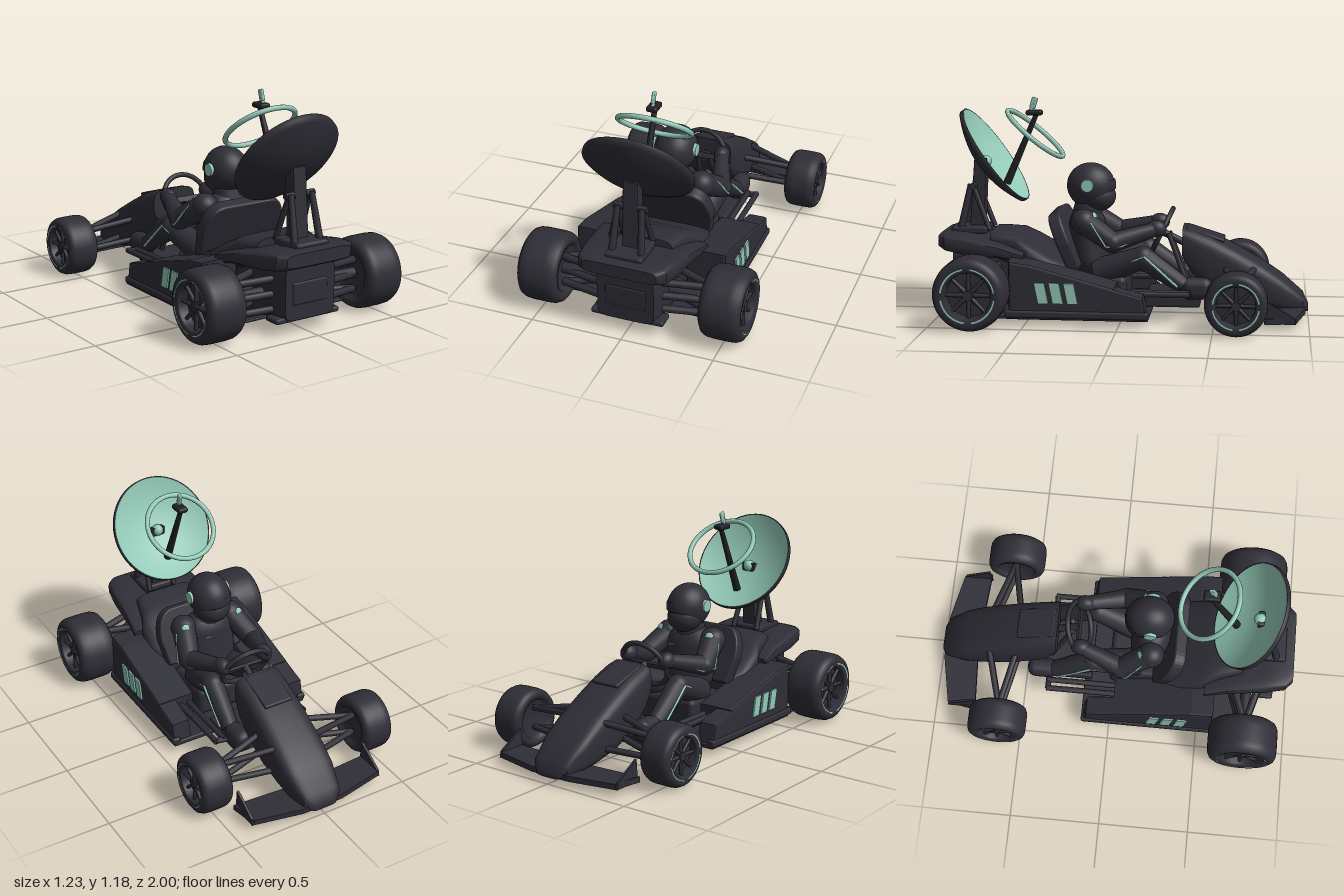
import * as THREE from 'three';
import { toCreasedNormals } from 'three/addons/utils/BufferGeometryUtils.js';
import { RoundedBoxGeometry } from 'three/addons/geometries/RoundedBoxGeometry.js';

const mat = (name, hex) => {
  const m = new THREE.MeshStandardMaterial({ color: hex, side: THREE.DoubleSide });
  m.name = name;
  return m;
};
const V = (x, y, z) => new THREE.Vector3(x, y, z);

export function createModel() {
  const dark = mat('charcoal', 0x2f2e37), black = mat('black', 0x201f25), mint = mat('mint', 0x92c8b6);
  const root = new THREE.Group();
  root.name = 'kart';

  const add = (name, geo, m = dark, pos = [0, 0, 0], parent = root) => {
    const mesh = new THREE.Mesh(geo, m);
    mesh.name = name;
    mesh.position.set(...pos);
    parent.add(mesh);
    return mesh;
  };
  const box = (name, x, y, z, w, h, d, m = dark, r = 0.012) =>
    add(name, new RoundedBoxGeometry(w, h, d, 2, Math.min(r, w / 2.1, h / 2.1, d / 2.1)), m, [x, y, z]);
  // Straight tapered bar between two points
  const rod = (name, a, b, r1, r2 = r1, m = dark, parent = root) => {
    const A = V(...a), B = V(...b), d = B.clone().sub(A);
    const mesh = add(name, new THREE.CylinderGeometry(r2, r1, d.length(), 14), m, A.clone().add(B).multiplyScalar(0.5).toArray(), parent);
    mesh.quaternion.setFromUnitVectors(V(0, 1, 0), d.normalize());
    return mesh;
  };
  const ball = (name, p, s, m = dark) => {
    const mesh = add(name, new THREE.SphereGeometry(1, 28, 20), m, p);
    mesh.scale.set(...s);
    return mesh;
  };
  // Side profile of [z, y] points, extruded from x0 to x0 + width
  const profile = (name, pts, x0, width, m = dark, bevel = 0) => {
    const shape = new THREE.Shape(pts.map(([z, y]) => new THREE.Vector2(-z, y)));
    const geo = new THREE.ExtrudeGeometry(shape, {
      depth: width - 2 * bevel, bevelEnabled: bevel > 0, bevelSize: bevel, bevelThickness: bevel, bevelOffset: -bevel, bevelSegments: 2,
    }).rotateY(Math.PI / 2).translate(x0 + bevel, 0, 0);
    return add(name, geo, m);
  };
  const sideProfile = (name, pts, s, xIn, xOut, m, bevel) =>
    profile(name, pts, s > 0 ? xIn : -xOut, xOut - xIn, m, bevel);
  // Rounded-box sections [z, halfWidth, yBottom, yTop] joined along z
  const loft = (name, secs, m = dark, e = 0.5, n = 32) => {
    const pos = [], idx = [], p = (v) => Math.sign(v) * Math.abs(v) ** e;
    for (const [z, w, y0, y1] of secs)
      for (let j = 0; j < n; j++) {
        const t = (j / n) * Math.PI * 2;
        pos.push(w * p(Math.cos(t)), (y0 + y1) / 2 + ((y1 - y0) / 2) * p(Math.sin(t)), z);
      }
    const last = (secs.length - 1) * n;
    for (let i = 0; i < secs.length - 1; i++)
      for (let j = 0; j < n; j++) {
        const a = i * n + j, b = i * n + ((j + 1) % n);
        idx.push(a, b, a + n, b, b + n, a + n);
      }
    for (let j = 1; j < n - 1; j++) idx.push(0, j + 1, j, last, last + j, last + j + 1);
    const g = new THREE.BufferGeometry();
    g.setAttribute('position', new THREE.Float32BufferAttribute(pos, 3));
    g.setIndex(idx);
    return add(name, toCreasedNormals(g, 0.6), m);
  };

  // Floor and central tub
  box('floor', 0, 0.055, 0.21, 0.84, 0.03, 0.74, dark, 0.008);
  box('frontFloor', 0, 0.1, -0.27, 0.36, 0.06, 0.3);
  box('rearFloor', 0, 0.042, 0.64, 0.78, 0.014, 0.16, dark, 0.005);

  // Nose cone with hatch, then front wing
  loft('nose', [[-1, 0.07, 0.04, 0.07], [-0.97, 0.11, 0.04, 0.13], [-0.86, 0.14, 0.045, 0.225], [-0.75, 0.148, 0.06, 0.3],
    [-0.6, 0.15, 0.09, 0.385], [-0.47, 0.148, 0.15, 0.45], [-0.37, 0.145, 0.24, 0.485], [-0.32, 0.135, 0.32, 0.495]]);
  const hatch = box('noseHatch', 0, 0.452, -0.44, 0.17, 0.02, 0.22);
  hatch.rotation.x = -0.3;
  const plan = [[-0.385, -0.93], [-0.12, -0.985], [0.12, -0.985], [0.385, -0.93], [0.415, -0.77], [0.12, -0.79], [-0.12, -0.79], [-0.415, -0.77]];
  add('frontWing', new THREE.ExtrudeGeometry(new THREE.Shape(plan.map(([x, z]) => new THREE.Vector2(x, -z))),
    { depth: 0.03, bevelEnabled: false }).rotateX(-Math.PI / 2), dark, [0, 0.04, 0]);

  // Rear bodywork: engine box, deck and sloping cover
  loft('engineBox', [[0.5, 0.2, 0.06, 0.38], [0.8, 0.18, 0.07, 0.38], [0.93, 0.155, 0.08, 0.37]], dark, 0.25);
  box('engineRecess', 0, 0.22, 0.925, 0.22, 0.12, 0.02);
  loft('engineCover', [[0.27, 0.24, 0.1, 0.3], [0.37, 0.27, 0.1, 0.34], [0.5, 0.26, 0.15, 0.415], [0.58, 0.22, 0.28, 0.455], [0.72, 0.18, 0.3, 0.465]], dark, 0.4);
  loft('rearDeck', [[0.52, 0.3, 0.31, 0.37], [0.65, 0.28, 0.33, 0.41], [0.85, 0.26, 0.34, 0.45], [0.96, 0.24, 0.36, 0.46], [1, 0.2, 0.38, 0.45]], dark, 0.35);
  box('mastBase', 0, 0.46, 0.85, 0.2, 0.04, 0.2);
  box('diffuser', 0, 0.085, 0.87, 0.4, 0.03, 0.1);

  for (const s of [1, -1]) {
    // Side pods with painted slashes
    sideProfile('sidePod', [[0.58, 0.06], [0.58, 0.35], [0.46, 0.335], [0.02, 0.215], [0.02, 0.06]], s, 0.2, 0.42, dark, 0.015);
    sideProfile('podNose', [[0.06, 0.06], [0.06, 0.22], [-0.13, 0.17], [-0.15, 0.06]], s, 0.31, 0.42, dark, 0.012);
    box('podSkirt', s * 0.405, 0.07, 0.22, 0.05, 0.04, 0.76);
    for (let i = 0; i < 3; i++) {
      const z = 0.442 - i * 0.078;
      sideProfile('podSlash', [[z, 0.24], [z - 0.055, 0.24], [z - 0.077, 0.13], [z - 0.022, 0.13]], s, 0.421, 0.43, mint);
    }
    for (const x of [0.23, 0.28]) rod('sideRail', [s * x, 0.16, -0.37], [s * x, 0.16, 0.05], 0.016);
    rod('railCross', [s * 0.15, 0.14, -0.36], [s * 0.28, 0.16, -0.36], 0.016);
    sideProfile('wingEndPlate', [[-0.765, 0.04], [-0.93, 0.04], [-0.92, 0.075], [-0.775, 0.16]], s, 0.385, 0.398, dark);

    // Front suspension
    for (const [zi, y, yo] of [[-0.71, 0.28, 0.23], [-0.55, 0.28, 0.23], [-0.71, 0.14, 0.12], [-0.55, 0.16, 0.12]])
      rod('frontWishbone', [s * 0.11, y, zi], [s * 0.43, yo, -0.62], 0.017);
    // Rear suspension
    for (const y of [0.11, 0.19, 0.27])
      for (const z of [0.66, 0.84]) rod('rearWishbone', [s * 0.14, y + 0.02, z], [s * 0.42, y, 0.76], 0.02);
    rod('driveShaft', [s * 0.12, 0.2, 0.76], [s * 0.42, 0.2, 0.76], 0.03);

    // Driver arm and leg with piping
    const sh = [s * 0.15, 0.525, 0.21], el = [s * 0.205, 0.425, 0.05], ha = [s * 0.13, 0.49, -0.18];
    rod('upperArm', sh, el, 0.068, 0.058);
    rod('forearm', el, ha, 0.056, 0.038);
    ball('shoulder', sh, [0.072, 0.07, 0.072]);
    ball('elbow', el, [0.059, 0.057, 0.059]);
    ball('glove', ha, [0.043, 0.047, 0.055]);
    const piping = [[0.222, 0.53, 0.165], [0.262, 0.408, 0.08], [0.236, 0.407, 0], [0.178, 0.468, -0.12]].map(([x, y, z]) => [s * x, y, z]);
    for (let i = 0; i < 3; i++) rod('armPiping', piping[i], piping[i + 1], 0.005, 0.005, mint);
    const patch = ball('shoulderPatch', [s * 0.17, 0.562, 0.148], [0.022, 0.022, 0.006], mint);
    patch.rotation.set(0.5, s * -0.3 + Math.PI, 0);
    const hip = [s * 0.1, 0.24, 0.14], kn = [s * 0.15, 0.335, -0.11], an = [s * 0.17, 0.19, -0.33];
    rod('thigh', hip, kn, 0.08, 0.063);
    rod('shin', kn, an, 0.063, 0.047);
    ball('knee', kn, [0.064, 0.064, 0.064]);
    box('boot', s * 0.165, 0.175, -0.4, 0.1, 0.12, 0.17, dark, 0.045);
    rod('thighPiping', [s * 0.18, 0.26, 0.08], [s * 0.211, 0.35, -0.12], 0.005, 0.005, mint);
    rod('shinPiping', [s * 0.211, 0.35, -0.12], [s * 0.216, 0.19, -0.3], 0.007, 0.007, mint);

    // Wheels
    for (const [end, x, z, R, w] of [['front', 0.5, -0.622, 0.164, 0.18], ['rear', 0.5, 0.76, 0.194, 0.225]]) {
      const wheel = new THREE.Group();
      wheel.name = end + 'Wheel';
      wheel.position.set(s * x, R + 0.004, z);
      wheel.rotation.z = -s * Math.PI / 2;
      root.add(wheel);
      const pts = [[0, -0.3], [0.62, -0.3], [0.65, -0.47], [0.82, -0.5], [0.93, -0.44], [0.985, -0.34], [1, -0.2], [1, 0.2],
        [0.985, 0.34], [0.93, 0.44], [0.82, 0.5], [0.65, 0.47], [0.62, 0.44], [0.6, 0.2]];
      add('tyre', new THREE.LatheGeometry(pts.map(([r, y]) => new THREE.Vector2(r * R, y * w)), 48), dark, [0, 0, 0], wheel);
      add('rimDisc', new THREE.CylinderGeometry(0.61 * R, 0.61 * R, 0.01, 32), dark, [0, 0.2 * w, 0], wheel);
      add('hub', new THREE.CylinderGeometry(0.14 * R, 0.18 * R, 0.2 * w, 16), dark, [0, 0.3 * w, 0], wheel);
      for (let k = 0; k < 8; k++) {
        const a = (k * Math.PI) / 4, c = Math.cos(a) * R, d = Math.sin(a) * R;
        rod('spoke', [c * 0.12, 0.32 * w, d * 0.12], [c * 0.62, 0.34 * w, d * 0.62], 0.07 * R, 0.05 * R, dark, wheel);
      }
      for (let k = 0; k < 4; k++)
        add('tyreBand', new THREE.RingGeometry(0.7 * R, 0.748 * R, 16, 1, k * 1.571 + 0.15, 1.3).rotateX(-Math.PI / 2), mint, [0, 0.5 * w + 0.002, 0], wheel);
    }
  }

  // Seat
  const back = new THREE.Shape();
  back.moveTo(-0.22, 0).lineTo(0.22, 0).lineTo(0.245, 0.14).quadraticCurveTo(0.24, 0.3, 0.14, 0.3).lineTo(-0.14, 0.3)
    .quadraticCurveTo(-0.24, 0.3, -0.245, 0.14);
  const seat = add('seatBack', new THREE.ExtrudeGeometry(back, { depth: 0.04, bevelSize: 0.01, bevelThickness: 0.015, bevelSegments: 3 }), dark, [0, 0.29, 0.24]);
  seat.rotation.x = 0.38;
  box('seatBase', 0, 0.15, 0.13, 0.36, 0.16, 0.3, dark, 0.03);

  // Driver torso and helmet
  const torso = add('torso', new THREE.CapsuleGeometry(0.12, 0.16, 8, 24), dark, [0, 0.4, 0.2]);
  torso.scale.set(1.3, 1, 0.85);
  torso.rotation.x = 0.12;
  rod('collar', [0, 0.54, 0.21], [0, 0.61, 0.2], 0.085, 0.075);
  box('chestBadge', 0.055, 0.49, 0.098, 0.04, 0.008, 0.009, mint, 0.002);
  ball('helmet', [0, 0.705, 0.19], [0.115, 0.125, 0.132]);
  ball('helmetChin', [0, 0.648, 0.152], [0.096, 0.085, 0.1]);
  const visor = add('visor', new THREE.SphereGeometry(1, 28, 12, Math.PI * 1.5 - 1, 2, 1.3, 0.4), dark, [0, 0.705, 0.19]);
  visor.scale.set(0.118, 0.128, 0.138);
  for (const s of [1, -1]) rod('helmetDisc', [s * 0.095, 0.715, 0.197], [s * 0.122, 0.715, 0.197], 0.037, 0.034, mint);

  // Steering wheel and column
  const steer = new THREE.Group();
  steer.name = 'steeringWheel';
  steer.position.set(0, 0.455, -0.2);
  steer.rotation.x = -0.45;
  root.add(steer);
  add('steeringRim', new THREE.TorusGeometry(0.14, 0.014, 10, 40), dark, [0, 0, 0], steer);
  add('steeringBar', new THREE.BoxGeometry(0.26, 0.03, 0.015), dark, [0, 0, 0], steer);
  rod('steeringColumn', [0, 0.455, -0.2], [0, 0.36, -0.4], 0.02);
  for (const s of [1, -1]) rod('columnBrace', [s * 0.03, 0.45, -0.24], [s * 0.06, 0.13, -0.36], 0.014);

  // Dish mast
  profile('mast', [[0.86, 0.45], [0.78, 0.45], [0.76, 0.85], [0.83, 0.84]], -0.042, 0.084, dark, 0.008);
  for (const s of [1, -1]) {
    rod('mastStrut', [s * 0.08, 0.46, 0.9], [s * 0.065, 0.71, 0.845], 0.02, 0.016);
    rod('mastBrace', [s * 0.08, 0.46, 0.74], [s * 0.065, 0.7, 0.83], 0.015);
    rod('mastPin', [s * 0.035, 0.7, 0.83], [s * 0.09, 0.7, 0.83], 0.018);
  }

  // Slightly oval dish bowl, opening up and forward
  const dish = new THREE.Group();
  dish.name = 'dish';
  dish.position.set(0, 0.872, 0.712);
  dish.rotation.x = -0.955;
  dish.scale.z = 1.03;
  root.add(dish);
  const bowl = (R, drop) => Array.from({ length: 13 }, (_, i) => new THREE.Vector2((R * i) / 12, 0.085 * ((i / 12) ** 2 - 1) - drop));
  add('dishBack', new THREE.LatheGeometry([...bowl(0.292, 0.022), new THREE.Vector2(0.292, 0), new THREE.Vector2(0.287, 0)], 56), dark, [0, 0, 0], dish);
  add('dishFace', new THREE.LatheGeometry(bowl(0.288, 0), 56), mint, [0, 0, 0], dish);
  const boss = add('dishBoss', new THREE.SphereGeometry(0.032, 20, 14), mint, [0, -0.075, 0], dish);
  boss.scale.y = 1.1;

  // Feed arm, feed horn and hoop
  rod('feedArm', [0, 0.71, 0.655], [0, 1.1, 0.485], 0.022, 0.013, black);
  box('feedBlock', 0, 1.1, 0.5, 0.06, 0.03, 0.09, black);
  rod('feedStem', [0, 1.11, 0.52], [0, 1.15, 0.505], 0.01, 0.01, mint);
  const cap = box('feedCap', 0, 1.153, 0.503, 0.016, 0.062, 0.034, mint, 0.006);
  cap.rotation.x = -0.3;
  const hoop = add('hoop', new THREE.TorusGeometry(0.193, 0.014, 10, 56).rotateX(Math.PI / 2), mint, [0, 0.986, 0.495]);
  hoop.rotation.x = -0.693;

  return root;
}
